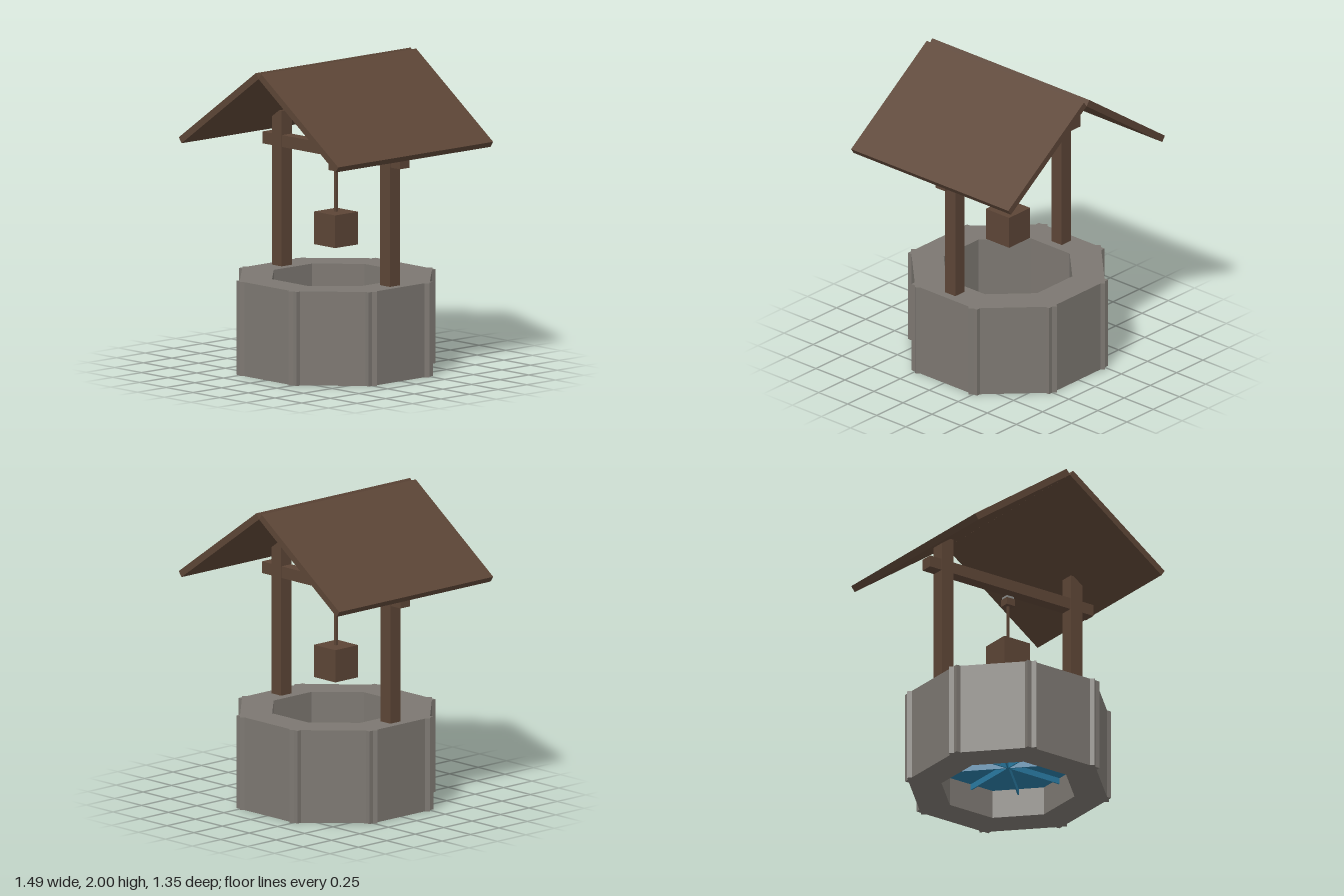
import * as THREE from 'three';

export function createModel() {
  const model = new THREE.Group();
  model.name = 'waterWell';

  const flat = (name, color) => {
    const m = new THREE.MeshStandardMaterial({ color });
    m.name = name;
    return m;
  };
  const stone = flat('stone', 0x7c7771);
  const wood = flat('wood', 0x5c4536);
  const water = flat('water', 0x2a7ba3);
  const iron = flat('iron', 0x8a8a88);

  const add = (name, geometry, material, x = 0, y = 0, z = 0) => {
    const mesh = new THREE.Mesh(geometry, material);
    mesh.name = name;
    mesh.position.set(x, y, z);
    model.add(mesh);
    return mesh;
  };
  const box = (name, material, [w, h, d], [x, y, z]) =>
    add(name, new THREE.BoxGeometry(w, h, d), material, x, y, z);

  // Ring of eight stone blocks, wide enough for their corners to cross
  for (let i = 0; i < 8; i++) {
    const a = (i * Math.PI) / 4;
    box('wallBlock', stone, [0.564, 0.61, 0.204],
      [0.505 * Math.sin(a), 0.305, 0.505 * Math.cos(a)]).rotation.y = a;
  }

  // Water: octagonal sheet with shallow ribs underneath
  const sheet = new THREE.CylinderGeometry(0.45, 0.45, 0.02, 8);
  sheet.rotateY(Math.PI / 8);
  add('waterSurface', sheet, water, 0, 0.2, 0);
  for (let i = 0; i < 4; i++) {
    box('waterRib', water, [0.82, 0.04, 0.008], [0, 0.17, 0]).rotation.y = (i * Math.PI) / 4;
  }

  // Posts and sloping roof boards, mirrored
  const slope = 0.617;
  for (const s of [-1, 1]) {
    box('post', wood, [0.09, 1.615, 0.09], [s * 0.507, 0.8125, 0]);
    box('roofPanel', wood, [0.883, 0.044, 1.354], [s * 0.373, 1.726, 0]).rotation.z = -s * slope;
  }
  box('crossBeam', wood, [1.286, 0.077, 0.082], [0, 1.423, 0]);

  // Pulley block, rope and bucket
  box('pulleyBlock', wood, [0.066, 0.048, 0.066], [0, 1.314, 0]);
  box('pulleyCap', iron, [0.056, 0.017, 0.056], [0, 1.3465, 0]);
  box('rope', wood, [0.016, 0.3, 0.016], [0, 1.15, 0]);
  box('bucket', wood, [0.2, 0.212, 0.2], [0, 0.915, 0]);

  return model;
}
